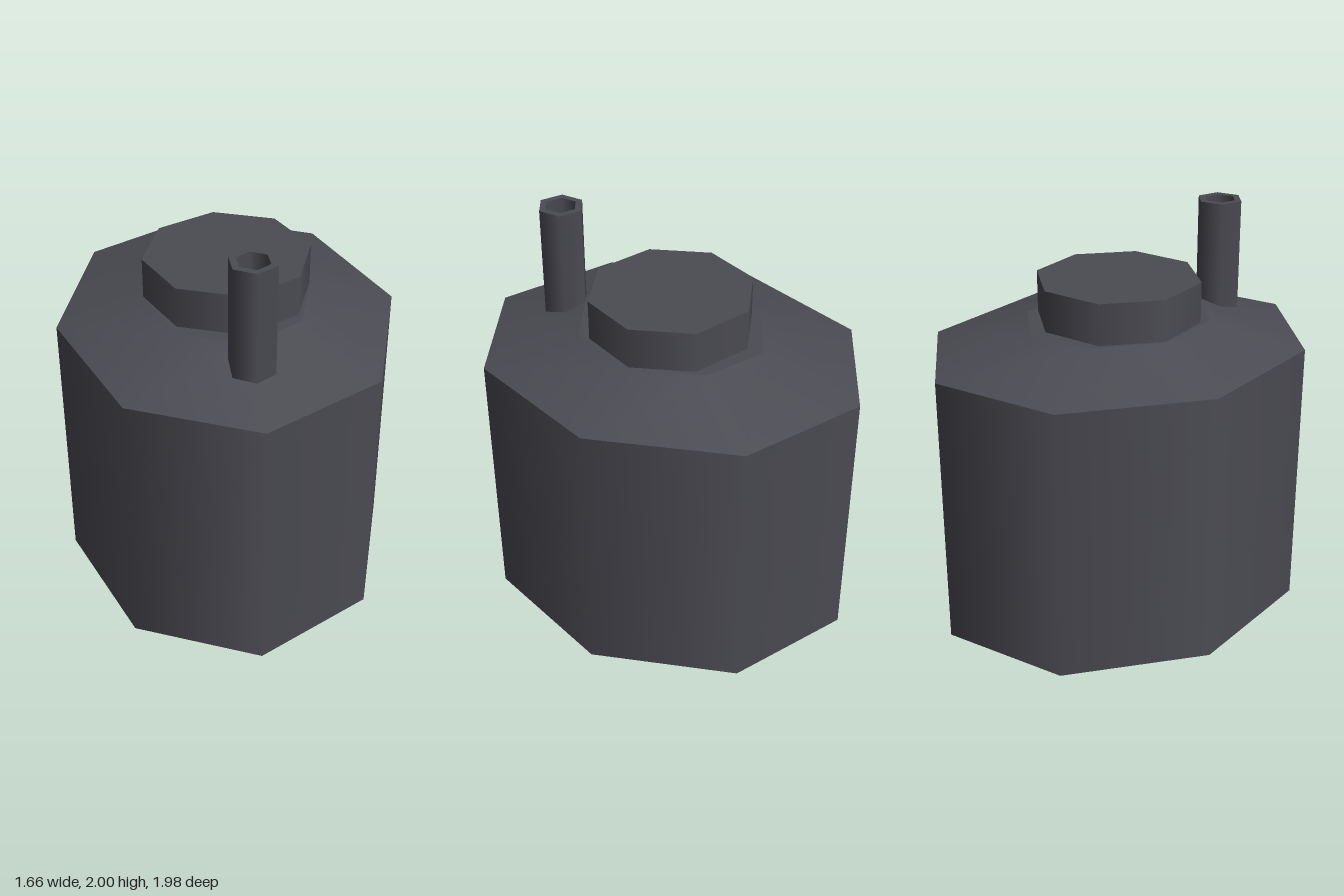
import * as THREE from 'three';

export function createModel() {
  const model = new THREE.Group();
  const darkGrey = new THREE.MeshStandardMaterial({ color: 0x4b4b53, side: THREE.DoubleSide });
  darkGrey.name = 'darkGrey';

  function add(name, geometry, x, y, z) {
    const mesh = new THREE.Mesh(geometry, darkGrey);
    mesh.name = name;
    mesh.position.set(x, y, z);
    model.add(mesh);
  }

  // Eight-sided oval ring, smooth sides, open ends
  const SIDES = 8, HALF_X = 0.832, HALF_Z = 0.99;
  const oval = (top, bottom, height) =>
    new THREE.CylinderGeometry(top, bottom, height, SIDES, 1, true).scale(HALF_X, 1, HALF_Z);

  // Tank wall, open underneath
  add('tankWall', oval(1, 1, 1.37), 0, 0.685, 0);

  // Sloping shoulder and the flat deck inside it
  add('shoulder', oval(0.495, 1, 0.13), 0, 1.435, 0);
  const deck = new THREE.CircleGeometry(0.495, SIDES).rotateX(-Math.PI / 2).scale(HALF_X, 1, HALF_Z);
  add('deck', deck, 0, 1.5, 0);

  // Round lid
  add('lid', new THREE.CylinderGeometry(0.408, 0.408, 0.205, SIDES), 0, 1.6025, 0);

  // Hollow six-sided pipe standing on the front shoulder
  const pipeHeight = 0.56, pipeY = 2 - pipeHeight / 2;
  add('pipeOuter', new THREE.CylinderGeometry(0.115, 0.115, pipeHeight, 6, 1, true), 0.008, pipeY, 0.603);
  add('pipeBore', new THREE.CylinderGeometry(0.08, 0.08, pipeHeight, 6, 1, true), 0.008, pipeY, 0.603);
  const rim = new THREE.RingGeometry(0.08, 0.115, 6, 1, Math.PI / 2).rotateX(-Math.PI / 2);
  add('pipeRim', rim, 0.008, 2, 0.603);

  return model;
}
